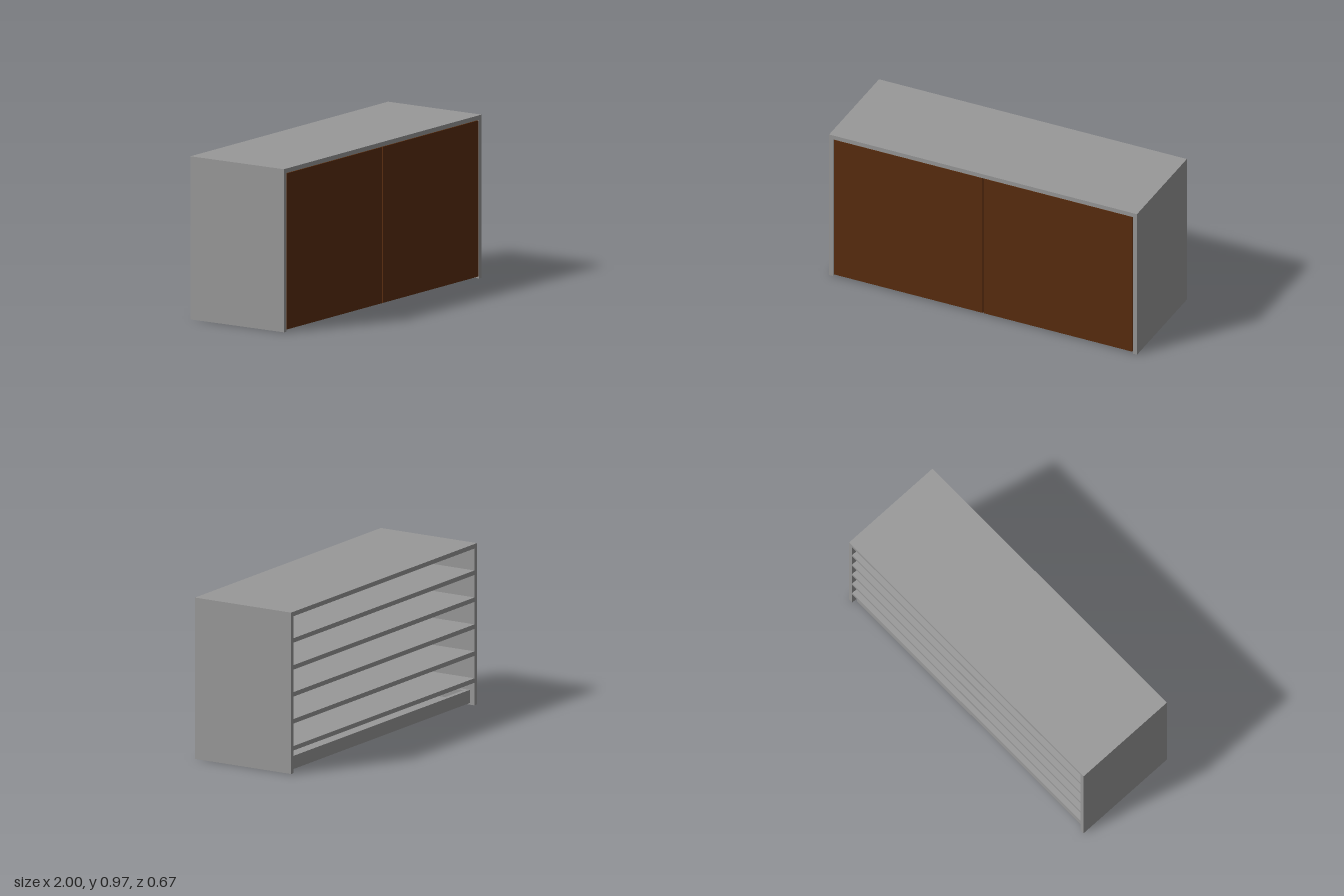
import * as THREE from 'three';

export function createModel() {
  const model = new THREE.Group();
  model.name = 'cabinet';

  const grey = new THREE.MeshStandardMaterial({ color: 0x999999 });
  grey.name = 'grey carcass';
  const brown = new THREE.MeshStandardMaterial({ color: 0x5a2d0e });
  brown.name = 'brown door';

  const H = 0.973, D = 0.67, T = 0.027; // height, depth, board thickness
  const back = -D / 2, front = D / 2;

  // Box given by its minimum and maximum corners
  function box(name, material, [x0, y0, z0], [x1, y1, z1], parent = model) {
    const mesh = new THREE.Mesh(new THREE.BoxGeometry(x1 - x0, y1 - y0, z1 - z0), material);
    mesh.position.set((x0 + x1) / 2, (y0 + y1) / 2, (z0 + z1) / 2);
    mesh.name = name;
    parent.add(mesh);
  }

  // Carcass: top and two sides, open at the back
  const inner = 1 - T;
  box('topPanel', grey, [-inner, H - T, back], [inner, H, front]);
  box('rightPanel', grey, [-1, 0, back], [-inner, H, front]);
  box('leftPanel', grey, [inner, 0, back], [1, H, front]);

  // Evenly spaced shelves, stopping behind the doors
  for (let i = 0; i < 5; i++) {
    const y = 0.15 + i * 0.1625;
    box('shelf', grey, [-inner, y - T / 2, back], [inner, y + T / 2, front - T - 0.003]);
  }

  // Pair of doors set flush in the frame
  box('rightDoor', brown, [-0.969, 0.012, front - T], [-0.004, H - T - 0.003, front - 0.001]);
  box('leftDoor', brown, [0.004, 0.012, front - T], [0.969, H - T - 0.003, front - 0.001]);

  // Open tray under the lowest shelf
  const tray = new THREE.Group();
  tray.name = 'baseTray';
  model.add(tray);
  const w = 0.957, y0 = 0.015, y1 = 0.094, zb = back + 0.022, zf = front - T - 0.006;
  box('trayFloor', grey, [-w, y0, zb], [w, y0 + 0.02, zf], tray);
  box('trayBack', grey, [-w, y0 + 0.02, zb], [w, y1, zb + T], tray);
  box('trayFront', grey, [-w, y0 + 0.02, zf - T], [w, 0.132, zf], tray);
  box('trayRightSide', grey, [-w, y0 + 0.02, zb + T], [-w + T, y1, zf - T], tray);
  box('trayLeftSide', grey, [w - T, y0 + 0.02, zb + T], [w, y1, zf - T], tray);

  return model;
}
